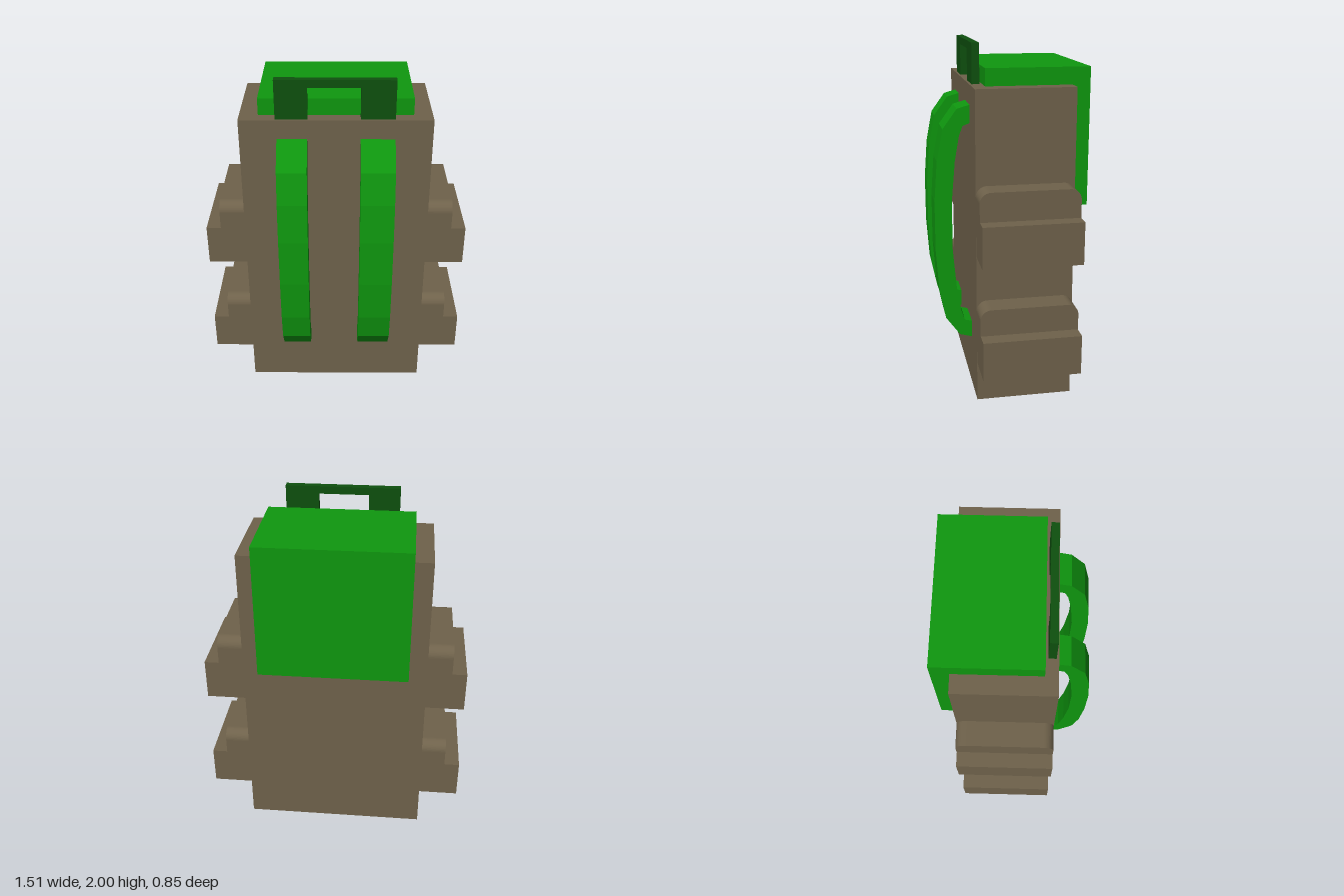
import * as THREE from 'three';

const canvas = new THREE.MeshStandardMaterial({ name: 'brownCanvas', color: 0x6f624b });
const green = new THREE.MeshStandardMaterial({ name: 'green', color: 0x0f980f });
const darkGreen = new THREE.MeshStandardMaterial({ name: 'darkGreen', color: 0x0e500e });
const BACK = -0.325, FRONT = 0.22;

// Box given by its limits on each axis
function box(name, material, [x0, x1], [y0, y1], [z0, z1]) {
  const mesh = new THREE.Mesh(new THREE.BoxGeometry(x1 - x0, y1 - y0, z1 - z0), material);
  mesh.position.set((x0 + x1) / 2, (y0 + y1) / 2, (z0 + z1) / 2);
  mesh.name = name;
  return mesh;
}

// Extrudes a (z, y) outline along x between two limits
function sideExtrude(name, material, shape, x0, x1) {
  const geometry = new THREE.ExtrudeGeometry(shape, { depth: x1 - x0, bevelEnabled: false, curveSegments: 6 });
  geometry.rotateY(-Math.PI / 2);
  geometry.translate(x1, 0, 0);
  const mesh = new THREE.Mesh(geometry, material);
  mesh.name = name;
  return mesh;
}

// Pocket lid outline with rounded upper corners
function lidShape(y0, y1, r) {
  const s = new THREE.Shape();
  s.moveTo(BACK, y0);
  s.lineTo(FRONT, y0);
  s.lineTo(FRONT, y1 - r);
  s.absarc(FRONT - r, y1 - r, r, 0, Math.PI / 2, false);
  s.lineTo(BACK + r, y1);
  s.absarc(BACK + r, y1 - r, r, Math.PI / 2, Math.PI, false);
  s.closePath();
  return s;
}

export function createModel() {
  const group = new THREE.Group();
  group.name = 'backpack';

  // Main bag
  group.add(box('bag', canvas, [-0.525, 0.525], [0, 1.78], [BACK, FRONT]));

  // Two stacked pockets on each side
  const pockets = [
    { name: 'lower', y: [0.235, 0.46], top: 0.61, reach: 0.753 },
    { name: 'upper', y: [0.87, 1.105], top: 1.265, reach: 0.748 },
  ];
  for (const side of [-1, 1]) {
    const span = (reach) => (side > 0 ? [0.5, reach] : [-reach, -0.5]);
    const label = side > 0 ? 'Left' : 'Right';
    for (const p of pockets) {
      group.add(box(`${p.name}${label}Pocket`, canvas, span(p.reach), p.y, [BACK + 0.001, FRONT - 0.001]));
      const [a, b] = span(0.665);
      group.add(sideExtrude(`${p.name}${label}PocketLid`, canvas, lidShape(p.y[1], p.top, 0.06), a, b));
    }
  }

  // Flap folded over the top and down the back
  const flap = new THREE.Shape([
    [-0.425, 1.105], [BACK, 1.105], [BACK, 1.78], [0.15, 1.78], [0.15, 1.875], [-0.425, 1.875],
  ].map(([z, y]) => new THREE.Vector2(z, y)));
  group.add(sideExtrude('flap', green, flap, -0.422, 0.422));

  // Arched shoulder straps
  const strap = new THREE.Shape([
    [0.22, 0.3], [0.29, 0.32], [0.37, 0.43], [0.405, 0.6], [0.422, 0.85],
    [0.422, 1.13], [0.405, 1.36], [0.37, 1.54], [0.29, 1.65], [0.22, 1.67],
    [0.22, 1.57], [0.26, 1.555], [0.28, 1.5], [0.305, 1.36], [0.325, 1.13],
    [0.325, 0.85], [0.305, 0.62], [0.28, 0.47], [0.26, 0.41], [0.22, 0.4],
  ].map(([z, y]) => new THREE.Vector2(z, y)));
  group.add(sideExtrude('leftStrap', green, strap, 0.133, 0.32));
  group.add(sideExtrude('rightStrap', green, strap, -0.32, -0.155));

  // Carry handle: two posts and a bar
  const handle = new THREE.Group();
  handle.name = 'handle';
  const depth = [0.165, 0.207];
  handle.add(
    box('leftPost', darkGreen, [0.133, 0.32], [1.78, 1.957], depth),
    box('rightPost', darkGreen, [-0.328, -0.152], [1.78, 1.957], depth),
    box('bar', darkGreen, [-0.328, 0.32], [1.957, 2], depth),
  );
  group.add(handle);

  return group;
}
